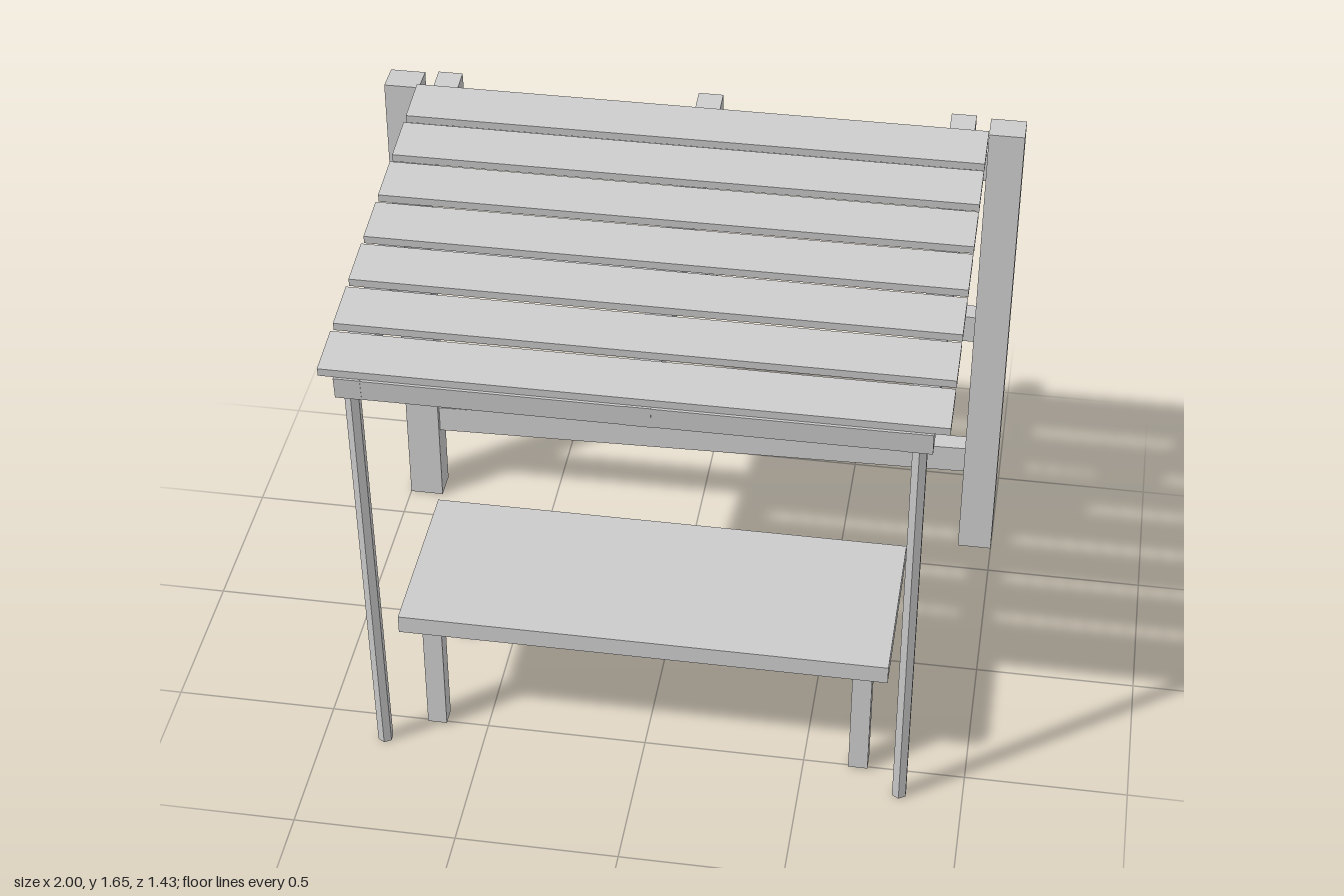
import * as THREE from 'three';

export function createModel() {
  const model = new THREE.Group();
  model.name = 'slattedShelter';
  const material = new THREE.MeshStandardMaterial({ color: 0xcccccc, flatShading: true });

  function add(parent, name, geometry, x, y, z) {
    const mesh = new THREE.Mesh(geometry, material);
    mesh.name = name;
    mesh.position.set(x, y, z);
    parent.add(mesh);
    return mesh;
  }
  const box = (parent, name, w, h, d, x, y, z) =>
    add(parent, name, new THREE.BoxGeometry(w, h, d), x, y, z);

  // Back frame: two heavy posts and three rails, the lower two slightly askew
  const backFrame = new THREE.Group();
  backFrame.name = 'backFrame';
  model.add(backFrame);
  for (const side of [-1, 1]) {
    box(backFrame, 'backPost', 0.11, 1.63, 0.095, side * 0.945, 0.815, -0.662);
  }
  const rails = [
    ['topRail', 1.498, 0],
    ['middleRail', 0.915, -0.036],
    ['lowerRail', 0.332, 0.022],
  ];
  for (const [name, y, tilt] of rails) {
    box(backFrame, name, 1.8, 0.095, 0.066, 0, y, -0.667).rotation.z = tilt;
  }

  // Sloping roof: rafters, front beam between them, and slats on top
  const roof = new THREE.Group();
  roof.name = 'roof';
  roof.position.set(0, 1.526, 0.003);
  roof.rotation.x = 0.1095;
  model.add(roof);
  const rafterX = [-0.807, 0.02, 0.807];
  for (const x of rafterX) box(roof, 'rafter', 0.077, 0.072, 1.43, x, 0, 0);
  for (let i = 0; i < 2; i++) {
    const width = rafterX[i + 1] - rafterX[i] - 0.077;
    box(roof, 'frontBeam', width, 0.07, 0.06, (rafterX[i] + rafterX[i + 1]) / 2, -0.001, 0.684);
  }
  for (let i = 0; i < 7; i++) {
    box(roof, 'roofSlat', 1.78, 0.026, 0.16, 0, 0.049, 0.628 - i * 0.193);
  }

  // Slim six-sided front poles leaning outwards
  const foot = new THREE.Vector3(0, 0, 0.6);
  const head = new THREE.Vector3(0, 1.418, 0.665);
  const lean = head.clone().sub(foot);
  for (const side of [-1, 1]) {
    const pole = add(model, 'frontPole', new THREE.CylinderGeometry(0.024, 0.024, lean.length(), 6),
      side * 0.807, 0.71, 0.6325);
    pole.rotation.x = Math.atan2(lean.z, lean.y);
  }

  // Bench
  const bench = new THREE.Group();
  bench.name = 'bench';
  model.add(bench);
  box(bench, 'benchTop', 1.5, 0.06, 0.575, 0, 0.447, 0.278);
  for (const x of [-0.66, 0.67]) {
    for (const z of [0.068, 0.486]) box(bench, 'benchLeg', 0.06, 0.412, 0.056, x, 0.212, z);
  }

  return model;
}
